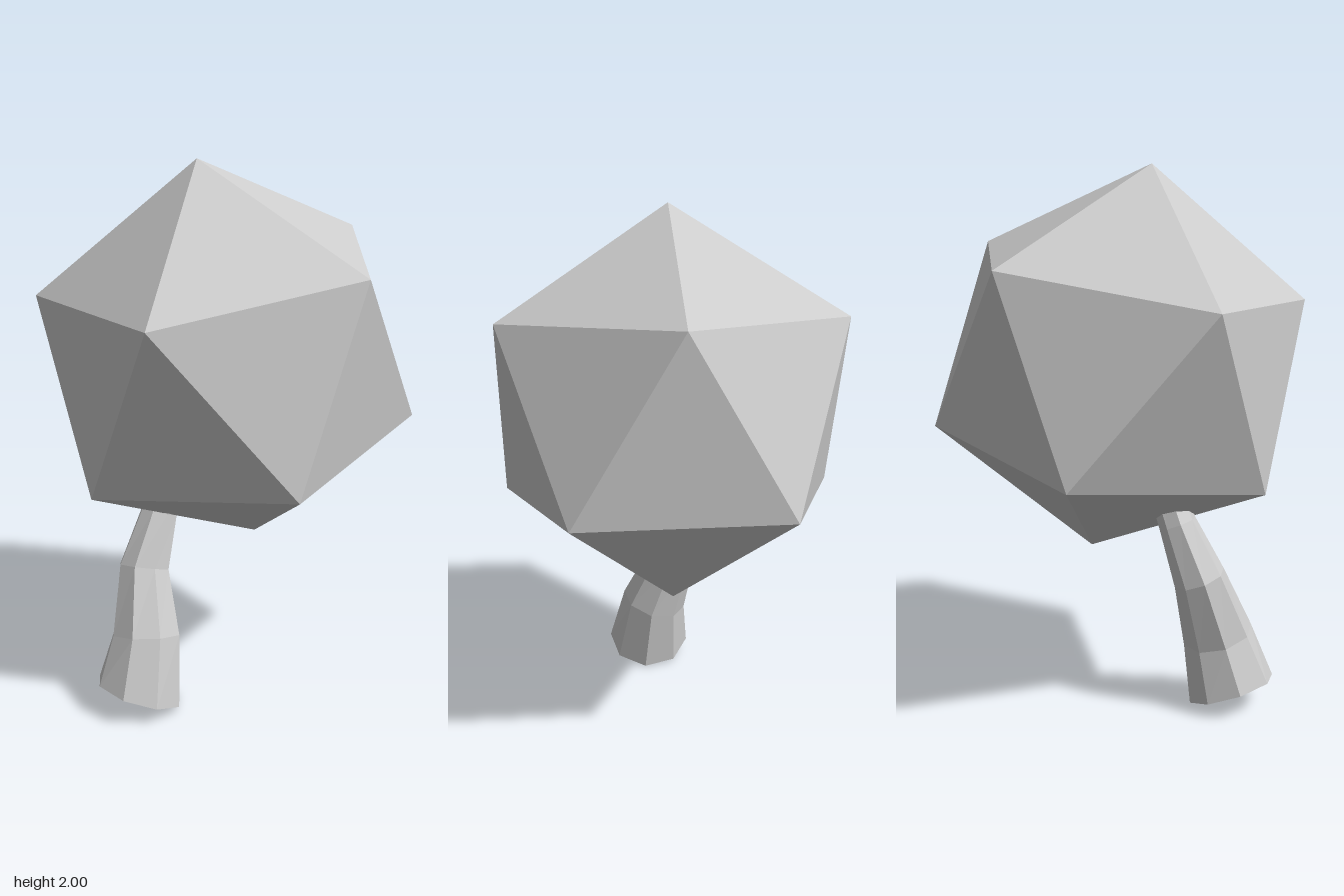
import * as THREE from 'three';
import { ConvexGeometry } from 'three/addons/geometries/ConvexGeometry.js';

const material = new THREE.MeshStandardMaterial({ color: 0xcccccc, flatShading: true });

// Tilted icosahedron: six corners, each mirrored through the centre
function createCanopy() {
  const corners = [
    [-0.065, 0.72, 0.11], [0.043, 0.23, 0.69], [0.607, 0.36, 0.19],
    [0.29, 0.44, -0.51], [-0.47, 0.36, -0.43], [-0.623, 0.23, 0.31],
  ].map((c) => new THREE.Vector3(...c));
  const points = corners.flatMap((c) => [c, c.clone().negate()]);
  const canopy = new THREE.Mesh(new ConvexGeometry(points), material);
  canopy.position.y = 1.28;
  canopy.name = 'canopy';
  return canopy;
}

// Bent eight-sided trunk: each row of a cylinder is moved onto a tilted ring
function createTrunk() {
  const rings = [
    { center: [-0.17, 0.06, 0.415], normal: [0.19, 1, -0.32], radius: 0.166 },
    { center: [-0.165, 0.275, 0.36], normal: [-0.14, 1, -0.28], radius: 0.132 },
    { center: [-0.21, 0.51, 0.285], normal: [-0.05, 1, -0.37], radius: 0.097 },
    { center: [-0.185, 0.71, 0.205], normal: [0.12, 1, -0.36], radius: 0.07 },
    { center: [-0.13, 0.9, 0.14], normal: [0.25, 1, -0.33], radius: 0.06 },
  ];
  const last = rings.length - 1;
  const geometry = new THREE.CylinderGeometry(1, 1, last, 8, last);
  geometry.rotateY(THREE.MathUtils.degToRad(7));

  const up = new THREE.Vector3(0, 1, 0);
  const turn = new THREE.Quaternion();
  const point = new THREE.Vector3();
  const position = geometry.attributes.position;
  for (let i = 0; i < position.count; i++) {
    point.fromBufferAttribute(position, i);
    const ring = rings[Math.round(point.y + last / 2)];
    turn.setFromUnitVectors(up, new THREE.Vector3(...ring.normal).normalize());
    point.setY(0).multiplyScalar(ring.radius).applyQuaternion(turn);
    point.add(new THREE.Vector3(...ring.center));
    position.setXYZ(i, point.x, point.y, point.z);
  }
  geometry.computeVertexNormals();

  const trunk = new THREE.Mesh(geometry, material);
  trunk.name = 'trunk';
  return trunk;
}

export function createModel() {
  const tree = new THREE.Group();
  tree.name = 'tree';
  tree.add(createCanopy(), createTrunk());
  return tree;
}
